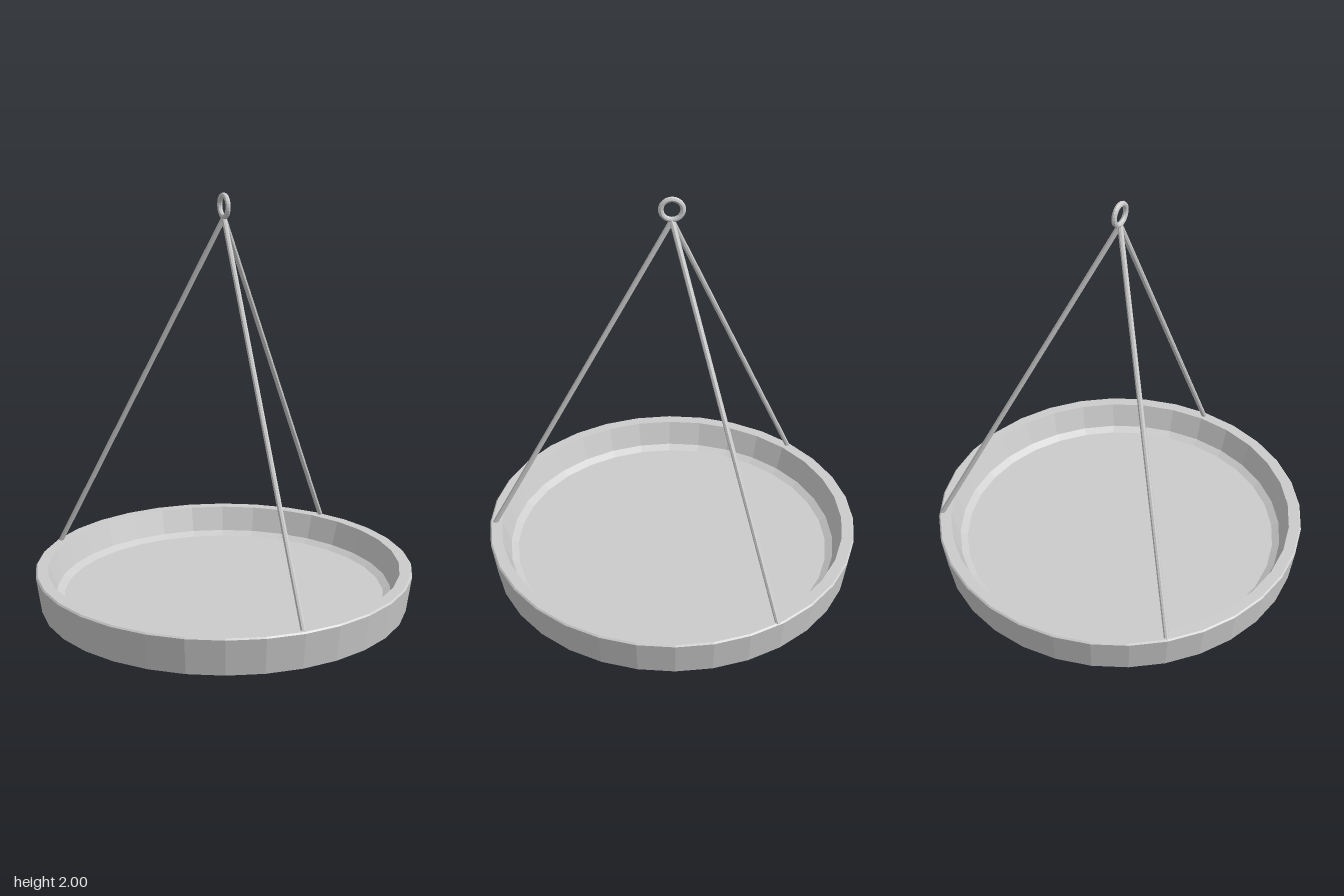
import * as THREE from 'three';

const material = new THREE.MeshStandardMaterial({ color: 0xcccccc, flatShading: true });

function addPart(group, name, geometry) {
  const mesh = new THREE.Mesh(geometry, material);
  mesh.name = name;
  group.add(mesh);
  return mesh;
}

// Straight round rod between two points
function addRod(group, name, from, to, radius) {
  const span = to.clone().sub(from);
  const rod = addPart(group, name, new THREE.CylinderGeometry(radius, radius, span.length(), 8));
  rod.position.copy(from).addScaledVector(span, 0.5);
  rod.quaternion.setFromUnitVectors(new THREE.Vector3(0, 1, 0), span.normalize());
}

export function createModel() {
  const group = new THREE.Group();
  group.name = 'hangingTray';

  // Shallow tray: underside, outer wall, rim, inner wall, floor
  const profile = [
    [0, 0], [0.79, 0], [0.88, 0.035], [0.905, 0.208], [0.898, 0.215],
    [0.845, 0.215], [0.805, 0.097], [0.77, 0.078], [0, 0.078],
  ].map(([r, y]) => new THREE.Vector2(r, y));
  addPart(group, 'tray', new THREE.LatheGeometry(profile, 32));

  // Three rods from the rim to a common point at the top
  const apex = new THREE.Vector3(0, 1.885, 0);
  const feet = {
    frontRod: [0, 0.88],
    backRightRod: [-0.628, -0.627],
    backLeftRod: [0.756, -0.473],
  };
  for (const [name, [x, z]] of Object.entries(feet)) {
    addRod(group, name, new THREE.Vector3(x, 0.208, z), apex, 0.0125);
  }

  // Hanging ring, standing in the front-to-back plane
  const ring = addPart(group, 'hangingRing', new THREE.TorusGeometry(0.049, 0.0125, 8, 24));
  ring.rotation.y = Math.PI / 2;
  ring.position.y = 1.9385;

  return group;
}
